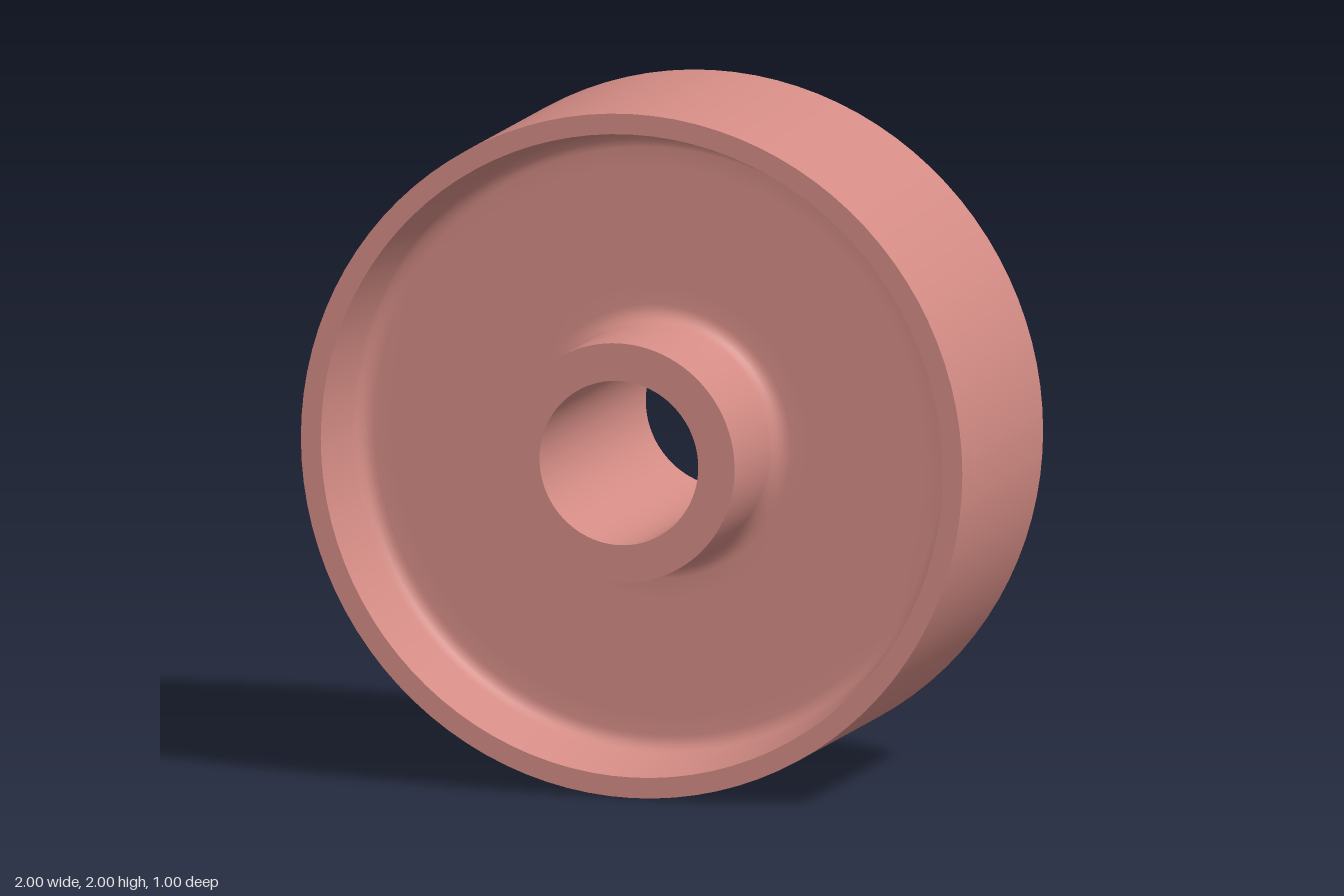
import * as THREE from 'three';
import { toCreasedNormals } from 'three/addons/utils/BufferGeometryUtils.js';

const SEGMENTS = 96;
const WEB = 0.125;   // half thickness of the web
const FILLET = 0.05;

// Quarter-round fillet points, centred above the front web face
function fillet(radius, from, to, steps = 6) {
  return Array.from({ length: steps + 1 }, (_, i) => {
    const a = from + (to - from) * i / steps;
    return [radius + FILLET * Math.cos(a), WEB + FILLET + FILLET * Math.sin(a)];
  });
}

// Mirror a profile to the back side, keeping its winding
const mirrored = (points) => points.map(([r, z]) => [r, -z]).reverse();

export function createModel() {
  const material = new THREE.MeshStandardMaterial({ color: 0xd48c85 });
  material.name = 'dusty pink';
  const wheel = new THREE.Group();
  wheel.name = 'wheel';

  // Revolve a [radius, z] profile around the axle
  const revolve = (name, profile) => {
    const lathe = new THREE.LatheGeometry(profile.map(([r, z]) => new THREE.Vector2(r, z)), SEGMENTS);
    lathe.rotateX(Math.PI / 2);
    const mesh = new THREE.Mesh(toCreasedNormals(lathe, Math.PI / 6), material);
    mesh.name = name;
    mesh.position.y = 1;
    wheel.add(mesh);
  };

  // Rim: tread, lips, drafted inner walls and fillets into the web
  const rimFront = [[1, 0.38], [0.94, 0.38], ...fillet(0.86, 0, -Math.PI / 2), [0.8, WEB]];
  revolve('rim', [...mirrored(rimFront), ...rimFront]);

  // Web: flat discs joining rim and hub on both sides
  const webFront = [[0.8, WEB], [0.46, WEB]];
  revolve('webFront', webFront);
  revolve('webBack', mirrored(webFront));

  // Hub: filleted boss with an open bore
  const hubFront = [[0.46, WEB], ...fillet(0.4, -Math.PI / 2, -Math.PI), [0.35, 0.5], [0.24, 0.5]];
  revolve('hub', [...hubFront, ...mirrored(hubFront)]);

  return wheel;
}
